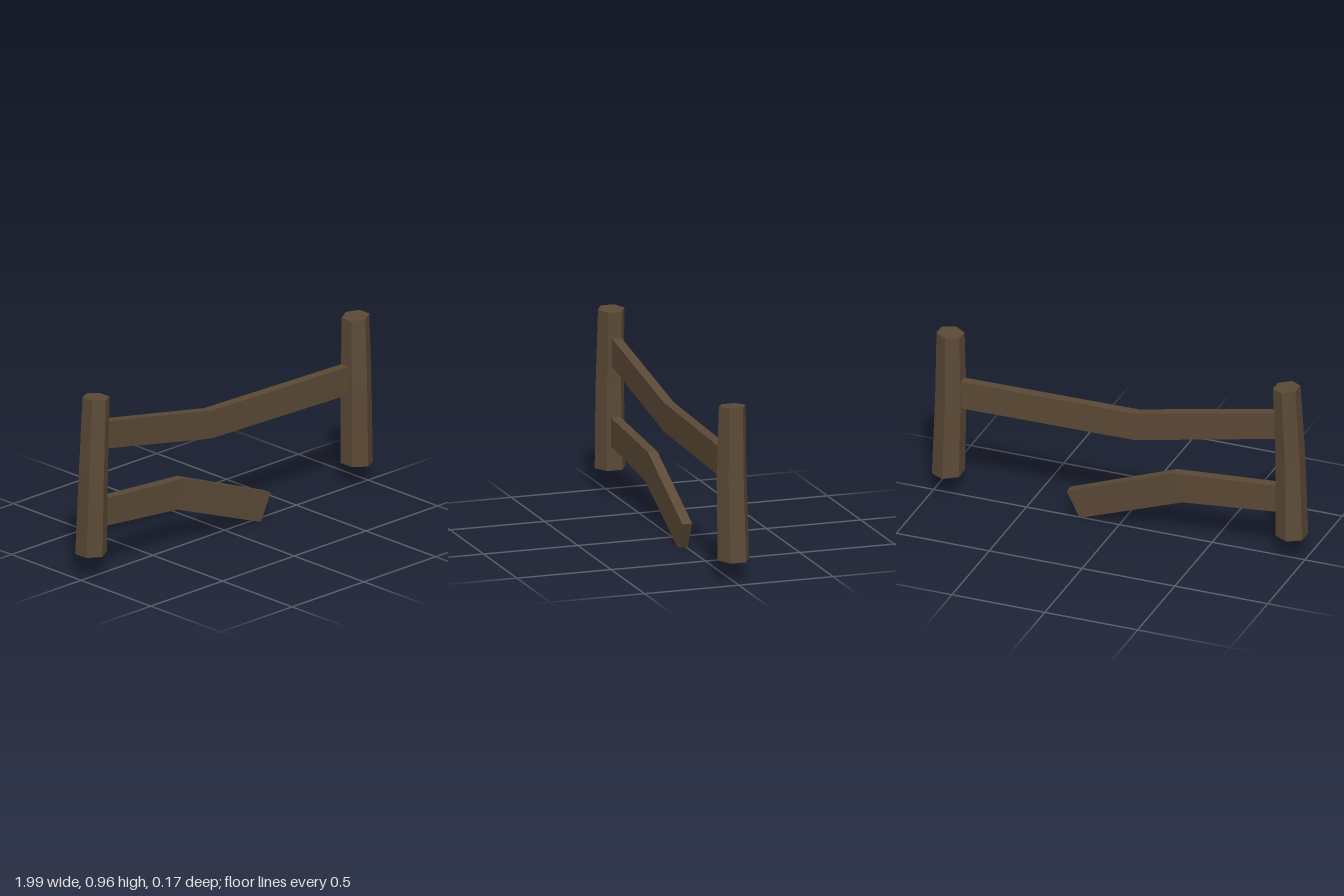
import * as THREE from 'three';

const wood = new THREE.MeshStandardMaterial({ color: 0x5b4936 });

// Faceted solid through rings of points; rings run counter-clockwise seen from the far end
function loft(name, rings) {
  const n = rings[0].length;
  const index = [];
  for (let i = 0; i < rings.length - 1; i++) {
    for (let j = 0; j < n; j++) {
      const a = i * n + j, b = i * n + (j + 1) % n;
      index.push(a, b, b + n, a, b + n, a + n);
    }
  }
  const last = (rings.length - 1) * n;
  for (let j = 1; j < n - 1; j++) {
    index.push(0, j + 1, j, last, last + j, last + j + 1);
  }
  const indexed = new THREE.BufferGeometry();
  indexed.setAttribute('position', new THREE.Float32BufferAttribute(rings.flat(2), 3));
  indexed.setIndex(index);
  const geometry = indexed.toNonIndexed();
  geometry.computeVertexNormals();
  const mesh = new THREE.Mesh(geometry, wood);
  mesh.name = name;
  return mesh;
}

// Six-sided ring with its corners towards front and back; slope tilts it along x
function hexRing({ x, y, z, r, slope = 0 }) {
  return Array.from({ length: 6 }, (_, k) => {
    const a = Math.PI / 6 + k * Math.PI / 3;
    const dx = r * Math.cos(a);
    return [x + dx, y + slope * dx, z - r * Math.sin(a)];
  });
}

// Four-cornered plank section from its top and bottom points, back and front
function plankRing({ top, bottom, back, front }) {
  return [[...top, back], [...top, front], [...bottom, front], [...bottom, back]];
}

export function createModel() {
  const fence = new THREE.Group();
  fence.name = 'brokenFence';

  // Leaning, slightly bent posts
  fence.add(loft('rightPost', [
    { x: -0.93, y: 0.13, z: 0, r: 0.082 },
    { x: -0.92, y: 0.56, z: 0.006, r: 0.075 },
    { x: -0.9, y: 0.957, z: 0.005, r: 0.07, slope: -0.07 },
  ].map(hexRing)));
  fence.add(loft('leftPost', [
    { x: 0.92, y: 0.117, z: 0, r: 0.084, slope: -0.06 },
    { x: 0.91, y: 0.56, z: 0.007, r: 0.079 },
    { x: 0.91, y: 0.906, z: 0.003, r: 0.071, slope: 0.08 },
  ].map(hexRing)));

  // Sagging upper rail spanning both posts
  fence.add(loft('upperRail', [
    { top: [-0.88, 0.822], bottom: [-0.88, 0.677], back: -0.03, front: 0.02 },
    { top: [-0.1, 0.67], bottom: [-0.1, 0.52], back: -0.042, front: 0.008 },
    { top: [0.87, 0.655], bottom: [0.87, 0.505], back: -0.028, front: 0.022 },
  ].map(plankRing)));

  // Snapped lower rail hanging from one post
  fence.add(loft('lowerRail', [
    { top: [-0.89, 0.407], bottom: [-0.89, 0.261], back: -0.028, front: 0.022 },
    { top: [-0.3, 0.365], bottom: [-0.35, 0.21], back: -0.028, front: 0.022 },
    { top: [0.28, 0.138], bottom: [0.21, 0.0], back: -0.008, front: 0.044 },
  ].map(plankRing)));

  return fence;
}
